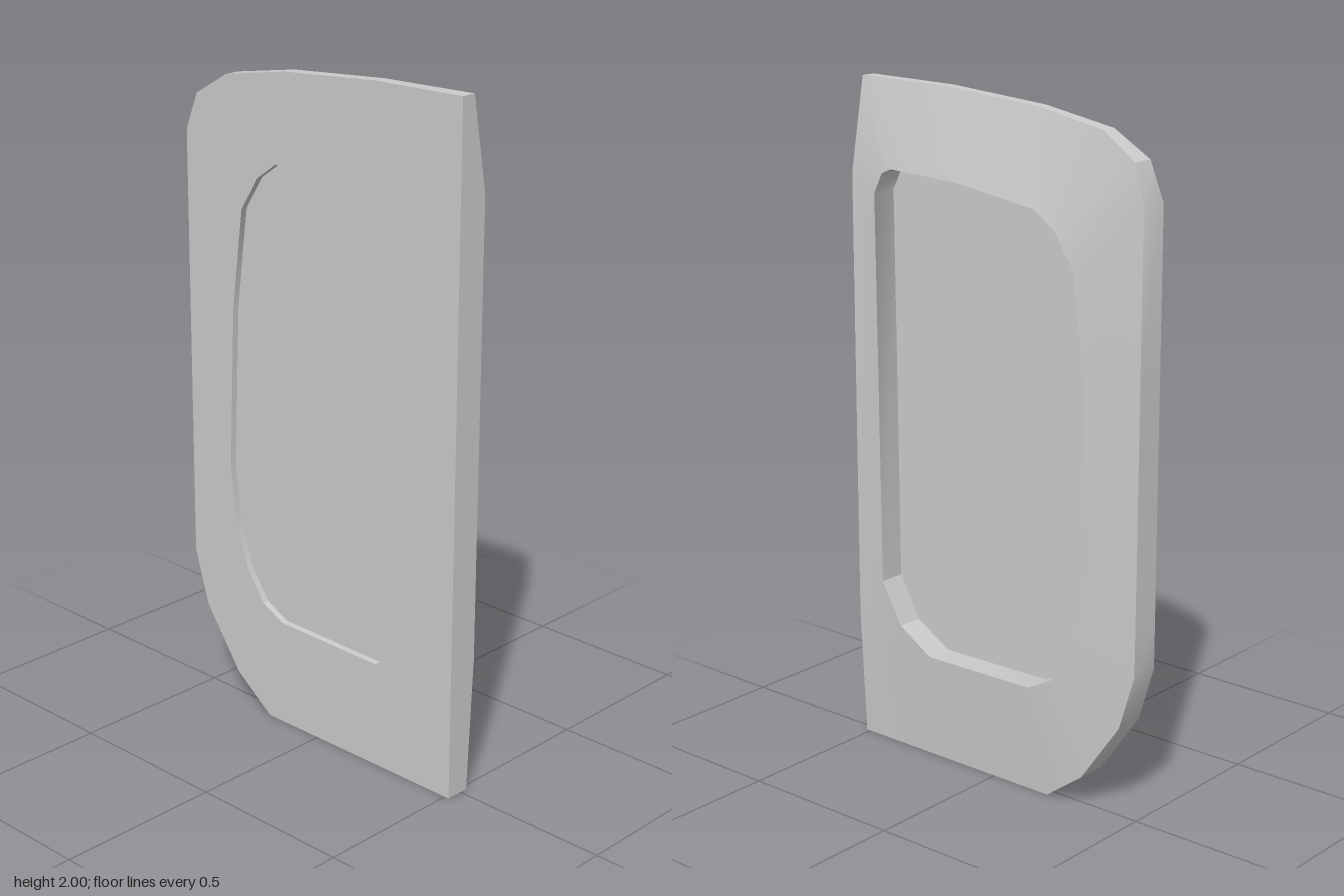
import * as THREE from 'three';
import { toCreasedNormals } from 'three/addons/utils/BufferGeometryUtils.js';

const FRONT = 0.05, BACK = -0.05, PANE = 0.03;

// Rim stations, counterclockwise from the top right: outer x, y, back z, then opening x, y
const stations = [
  [0.515, 2, 0.005, 0.36, 1.755],
  [0.21, 1.995, 0.012, 0.12, 1.745],
  [-0.12, 1.97, 0.012, -0.16, 1.705],
  [-0.35, 1.93, 0.003, -0.23, 1.655],
  [-0.47, 1.86, -0.015, -0.23, 1.655],
  [-0.515, 1.75, -0.035, -0.295, 1.555],
  [-0.515, 1.25, -0.037, -0.335, 1.25],
  [-0.515, 0.77, -0.038, -0.355, 0.77],
  [-0.515, 0.59, -0.039, -0.335, 0.59],
  [-0.515, 0.45, -0.04, -0.29, 0.46],
  [-0.465, 0.285, -0.041, -0.225, 0.365],
  [-0.335, 0.1, -0.042, -0.225, 0.365],
  [-0.2, 0, -0.027, -0.145, 0.325],
  [0.23, 0, -0.026, 0.23, 0.32],
  [0.515, 0, -0.025, 0.345, 0.39],
  [0.515, 0.4, -0.045, 0.415, 0.515],
  [0.515, 1.73, -0.045, 0.425, 1.68],
  [0.515, 2, 0.005, 0.395, 1.74],
];

// Closed band: a four-cornered section carried round all stations
function frameGeometry() {
  const rings = stations.map(([ox, oy, oz, ix, iy]) => [
    new THREE.Vector3(ox, oy, FRONT),
    new THREE.Vector3(ox, oy, oz),
    new THREE.Vector3(ix, iy, BACK),
    new THREE.Vector3(ix, iy, FRONT),
  ]);
  const pos = [];
  const tri = (a, b, c) => {
    if (a.equals(b) || b.equals(c) || c.equals(a)) return;
    for (const v of [a, b, c]) pos.push(v.x, v.y, v.z);
  };
  rings.forEach((r, k) => {
    const n = rings[(k + 1) % rings.length];
    for (let j = 0; j < 4; j++) {
      const m = (j + 1) % 4;
      tri(r[j], r[m], n[m]);
      tri(r[j], n[m], n[j]);
    }
  });
  const geo = new THREE.BufferGeometry();
  geo.setAttribute('position', new THREE.Float32BufferAttribute(pos, 3));
  return toCreasedNormals(geo, 0.5);
}

export function createModel() {
  const group = new THREE.Group();
  group.name = 'windowPanel';

  // Frame with flat front and bevelled back
  const frame = new THREE.Mesh(frameGeometry(), new THREE.MeshStandardMaterial({ color: 0xcccccc }));
  frame.name = 'frame';
  group.add(frame);

  // Thin pane set just behind the front face
  const outline = [];
  for (const [, , , x, y] of stations) {
    const last = outline[outline.length - 1];
    if (!last || last.x !== x || last.y !== y) outline.push(new THREE.Vector2(x, y));
  }
  const pane = new THREE.Mesh(
    new THREE.ShapeGeometry(new THREE.Shape(outline)),
    new THREE.MeshStandardMaterial({ color: 0xcccccc, side: THREE.DoubleSide })
  );
  pane.name = 'pane';
  pane.position.z = PANE;
  group.add(pane);

  return group;
}
